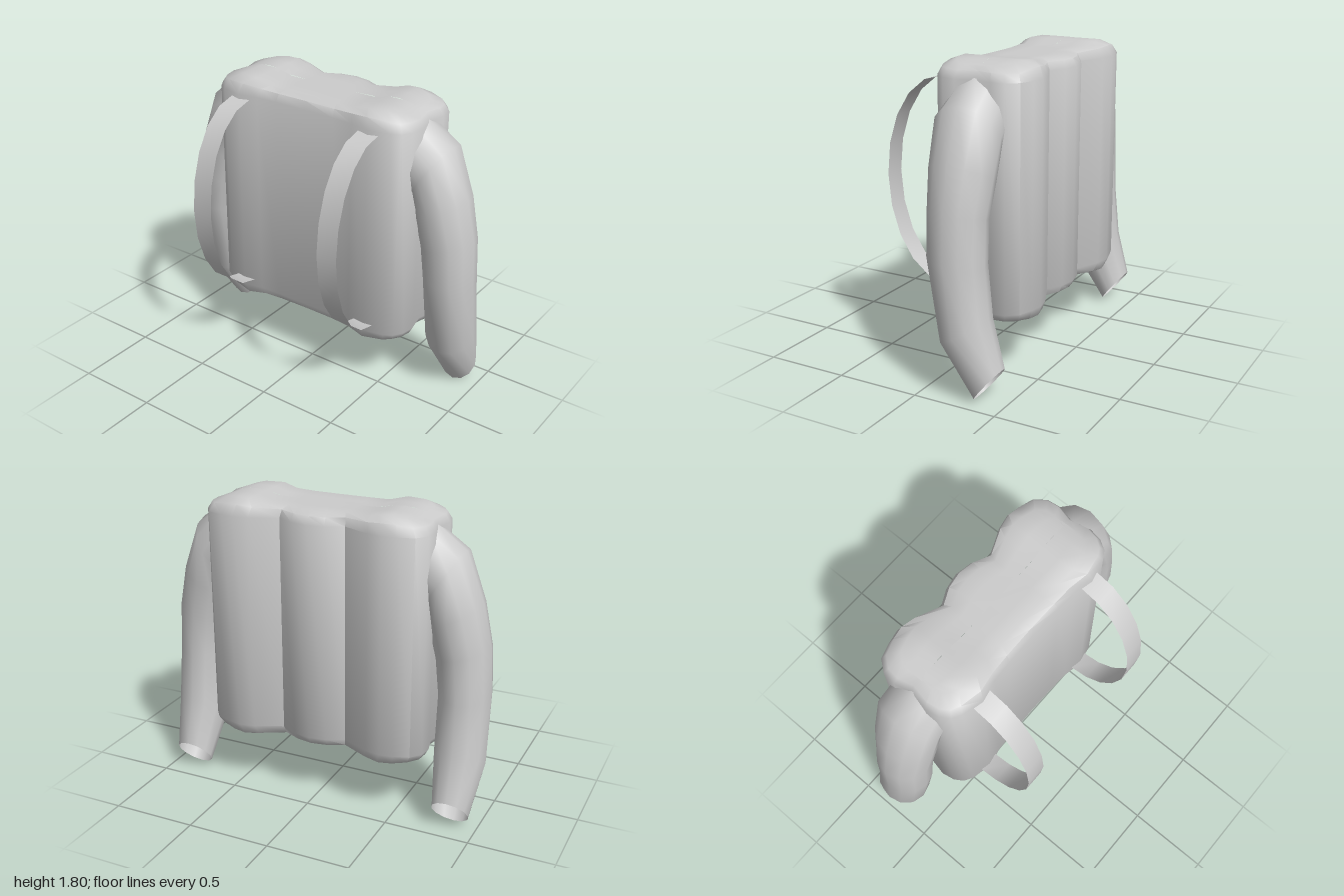
import * as THREE from 'three';
import { toCreasedNormals } from 'three/addons/utils/BufferGeometryUtils.js';

const MID_Y = 1.0625, MID_Z = -0.185;
const material = new THREE.MeshStandardMaterial({ color: 0xcccccc });
const thin = new THREE.MeshStandardMaterial({ color: 0xcccccc, side: THREE.DoubleSide });

// Skin a stack of closed rings, each an array of [x, y, z]
function loft(rings, flip = false) {
  const n = rings[0].length, index = [];
  for (let i = 0; i < rings.length - 1; i++) {
    for (let j = 0; j < n; j++) {
      const a = i * n + j, b = i * n + (j + 1) % n, c = a + n, d = b + n;
      if (flip) index.push(a, c, b, b, c, d);
      else index.push(a, b, c, b, d, c);
    }
  }
  const geometry = new THREE.BufferGeometry();
  geometry.setAttribute('position', new THREE.Float32BufferAttribute(rings.flat(2), 3));
  geometry.setIndex(index);
  geometry.computeVertexNormals();
  return geometry;
}

function addMesh(group, name, geometry, mat) {
  const mesh = new THREE.Mesh(geometry, mat);
  mesh.name = name;
  group.add(mesh);
}

// Padded body: plan outline with three bulges at the back, rounded over at top and bottom
function bodyGeometry() {
  const half = [
    [0, 0.08], [0.2, 0.083], [0.33, 0.09], [0.45, 0.115], [0.58, 0.085], [0.63, 0.055], [0.665, 0],
    [0.68, -0.08], [0.655, -0.2], [0.68, -0.3], [0.67, -0.38], [0.62, -0.445], [0.53, -0.473],
    [0.45, -0.488], [0.36, -0.47], [0.2, -0.4], [0.1, -0.45], [0, -0.468],
  ];
  const outline = [...half, ...half.slice(1, -1).reverse().map(([x, z]) => [-x, z])];
  const dip = x => 0.03 * Math.min(1, ((Math.abs(x) - 0.45) / 0.15) ** 2);
  // inset, half height, share of the dip, depth factor
  const layers = [
    [0, 0.64, 0, 1], [0.025, 0.703, 0.6, 1], [0.09, 0.733, 1, 1], [0.09, 0.733, 1, 0.5], [0.09, 0.733, 1, 0],
  ];
  const ring = ([inset, h, share, depth], sign) => outline.map(([x, z]) => {
    const px = x * (1 - inset / 0.68);
    const pz = MID_Z + (z - MID_Z) * (1 - inset / 0.3) * depth;
    return [px, MID_Y + sign * (h - share * dip(px)), pz];
  });
  const bottom = layers.map(l => ring(l, -1)).reverse();
  const top = layers.map(l => ring(l, 1));
  return toCreasedNormals(loft([...bottom, ...top]), 0.81);
}

// Sleeve: hanging tube, open at the cuff
function sleeveGeometry(side) {
  // centre x y z, outward half axis x y, forward half axis y z
  const sections = [
    [0.56, 1.53, -0.187, 0.09, 0.185, 0, 0.18],
    [0.72, 1.43, -0.187, 0.1, 0.16, 0, 0.2],
    [0.78, 1.225, -0.187, 0.15, 0.075, 0, 0.188],
    [0.828, 1.01, -0.187, 0.157, 0.04, 0, 0.168],
    [0.847, 0.77, -0.19, 0.152, 0, 0.02, 0.168],
    [0.85, 0.38, -0.245, 0.153, 0, -0.08, 0.14],
    [0.85, 0.095, -0.385, 0.11, 0, -0.095, 0.075],
  ];
  const rings = sections.map(([x, y, z, ux, uy, vy, vz]) =>
    Array.from({ length: 12 }, (_, i) => {
      const c = Math.cos(i * Math.PI / 6), s = Math.sin(i * Math.PI / 6);
      return [side * (x + ux * c), y + uy * c + vy * s, z + vz * s];
    }));
  return loft(rings, side < 0);
}

// Strap: flat band bowed into half an ellipse
function strapGeometry(side) {
  const geometry = new THREE.PlaneGeometry(0.13, 1, 1, 10);
  const p = geometry.attributes.position;
  for (let i = 0; i < p.count; i++) {
    const a = p.getY(i) * Math.PI;
    p.setXYZ(i, p.getX(i) + side * 0.445, 1.075 + 0.605 * Math.sin(a), 0.1 + 0.38 * Math.cos(a));
  }
  geometry.computeVertexNormals();
  return geometry;
}

export function createModel() {
  const group = new THREE.Group();
  group.name = 'paddedPackWithSleeves';
  addMesh(group, 'body', bodyGeometry(), material);
  for (const [name, side] of [['left', 1], ['right', -1]]) {
    addMesh(group, name + 'Sleeve', sleeveGeometry(side), thin);
    addMesh(group, name + 'Strap', strapGeometry(side), thin);
  }
  return group;
}
